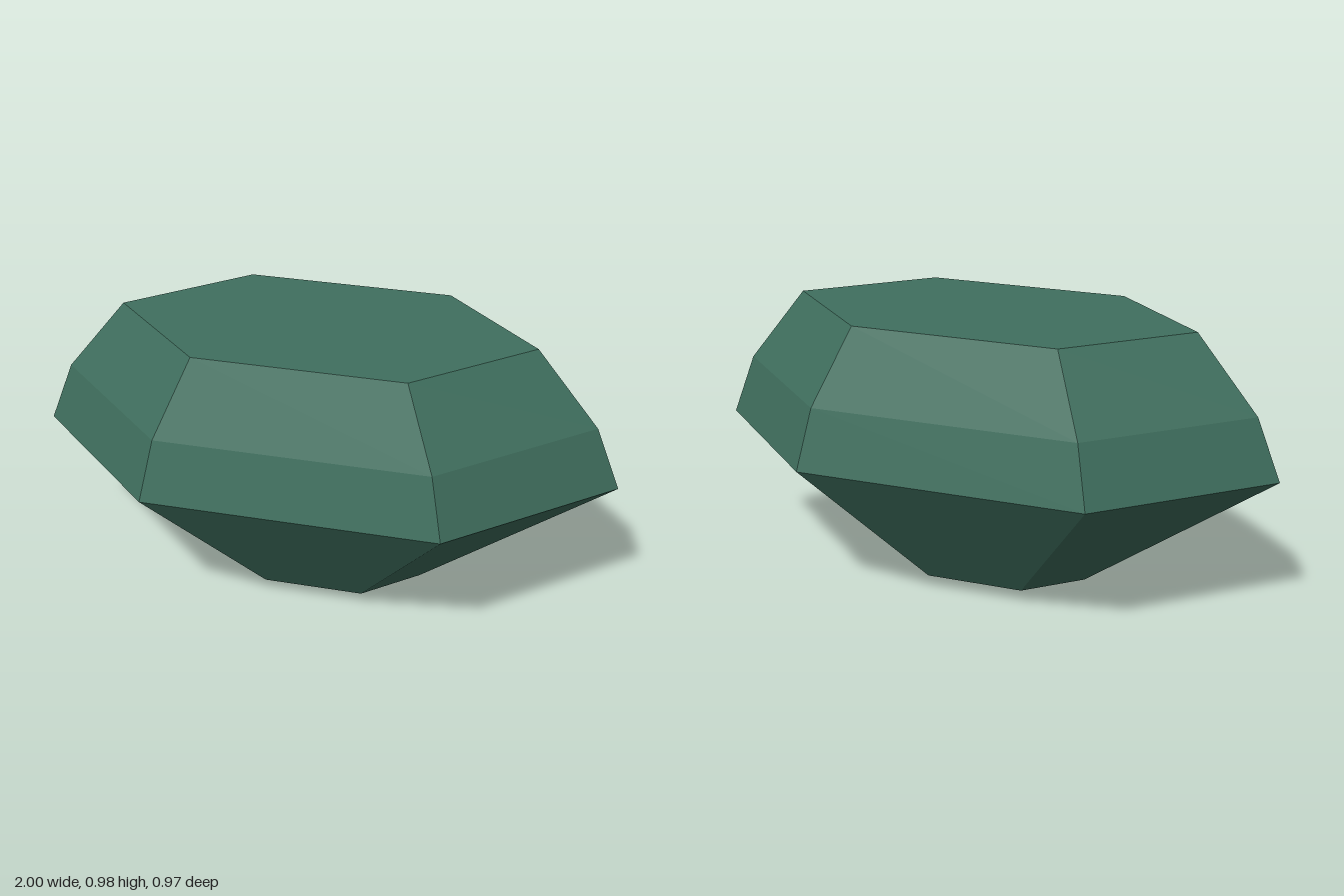
import * as THREE from 'three';

// Six-sided cut gem: a flattened hexagonal lathe with flat facets
export function createModel() {
  const group = new THREE.Group();
  group.name = 'gem';

  const gemGreen = new THREE.MeshStandardMaterial({ color: 0x40705f });
  gemGreen.name = 'gem green';

  const depth = 0.559; // squash of the hexagon along z

  // Profiles are [radius, height], from bottom to top
  const addPart = (name, profile) => {
    const points = profile.map(([r, y]) => new THREE.Vector2(r, y));
    const geometry = new THREE.LatheGeometry(points, 6, Math.PI / 2)
      .scale(1, 1, depth)
      .toNonIndexed();
    geometry.computeVertexNormals(); // flat facets
    const mesh = new THREE.Mesh(geometry, gemGreen);
    mesh.name = name;
    group.add(mesh);
  };

  addPart('culet', [[0, 0], [0.343, 0.05]]);
  addPart('pavilion', [[0.343, 0.05], [1, 0.5]]);
  addPart('crown', [[1, 0.5], [0.917, 0.714], [0.707, 0.975]]);
  addPart('table', [[0.707, 0.975], [0, 0.975]]);

  return group;
}
